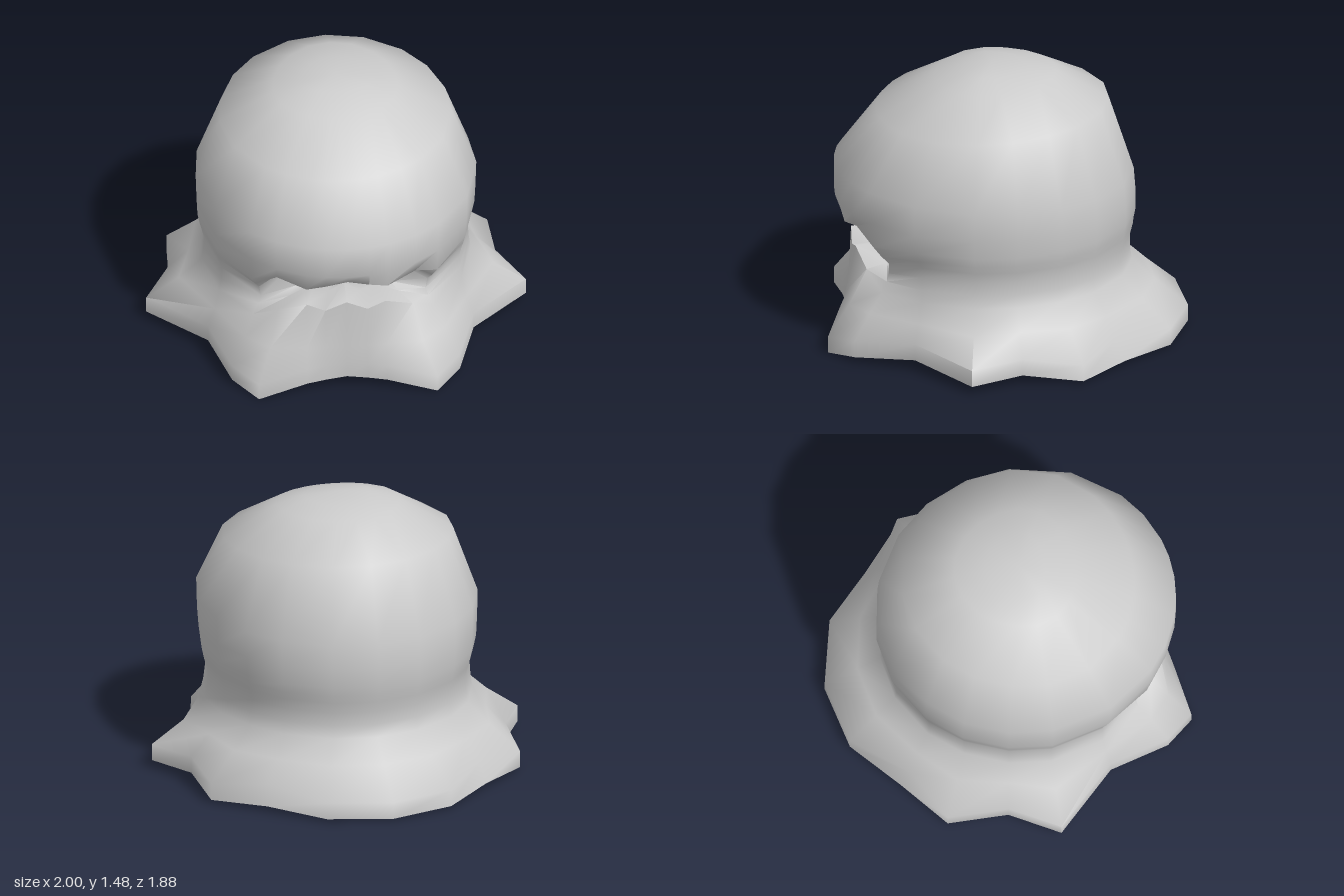
import * as THREE from 'three';
import { toCreasedNormals } from 'three/addons/utils/BufferGeometryUtils.js';

const CZ = 0.13; // centre line of the rounded body
// Half-ring column angles, from the front round the left side to the back
const ANGLES = [0, 9, 17, 30, 42, 64, 88, 105, 123, 140, 161, 180].map(THREE.MathUtils.degToRad);
// Scalloped hem: x, y, z for each column
const HEM = [
  [0, 0.06, 0.85], [0.11, 0.055, 0.865], [0.21, 0.05, 0.885], [0.47, 0, 0.935],
  [0.6, 0.03, 0.79], [0.7, 0.06, 0.47], [1, 0.04, 0.16], [0.86, 0.05, -0.1],
  [0.845, 0.015, -0.42], [0.6, 0.03, -0.63], [0.34, 0.015, -0.86], [0, 0.01, -0.94],
];
// How far each front column sinks into the mouth
const SINK = [1, 1, 1, 0.8, 0.2];

// Body rings: height, half width, front and back radius;
// depth and ys shape the mouth in the front columns, tilt lifts the back
const RINGS = [
  { y: 0.36, w: 0.71, f: 0.7, b: 0.775, depth: 1, ys: [0.525, 0.47, 0.5, 0.43, 0.35] },
  { y: 0.43, w: 0.7, f: 0.7, b: 0.765, depth: 0.78, ys: [0.545, 0.485, 0.51, 0.44, 0.4] },
  { y: 0.5, w: 0.695, f: 0.7, b: 0.765, depth: 0.66, ys: [0.5, 0.47, 0.48, 0.46, 0.44] },
  { y: 0.56, w: 0.71, f: 0.7, b: 0.78, depth: 0.66, ys: [0.67, 0.65, 0.63, 0.6, 0.5] },
  { y: 0.6, w: 0.72, f: 0.73, b: 0.785, depth: 0.84, ys: [0.7, 0.67, 0.645, 0.65, 0.55] },
  { y: 0.65, w: 0.73, f: 0.76, b: 0.795, depth: 1, ys: [0.7, 0.67, 0.64, 0.68, 0.61] },
  { y: 0.75, w: 0.735, f: 0.79, b: 0.795 },
  { y: 0.93, w: 0.74, f: 0.79, b: 0.785, tilt: -0.05 },
  { y: 1.22, w: 0.61, f: 0.57, b: 0.655, tilt: 0.06 },
  { y: 1.4, w: 0.33, f: 0.26, b: 0.38, tilt: 0.03 },
  { y: 1.455, w: 0.18, f: 0.1, b: 0.22 },
];

function bodyPoint({ y, w, f, b, depth = 1, ys, tilt = 0 }, i) {
  const a = ANGLES[i], c = Math.cos(a);
  const s = 1 - (1 - depth) * (SINK[i] ?? 0);
  const h = ys?.[i] ?? y + tilt * (1 - c) / 2;
  return [w * Math.sin(a) * s, h, CZ + (c > 0 ? f : b) * c * s];
}

// Complete a half ring by mirroring it to the right side
const mirror = half => [...half, ...half.slice(1, -1).reverse().map(([x, y, z]) => [-x, y, z])];

function makeGeometry(points, index) {
  const g = new THREE.BufferGeometry();
  g.setAttribute('position', new THREE.Float32BufferAttribute(points.flat(), 3));
  g.setIndex(index);
  return toCreasedNormals(g, 1.25);
}

export function createModel() {
  const group = new THREE.Group();
  group.name = 'hoodedBlob';
  const material = new THREE.MeshStandardMaterial({ color: 0xcccccc, side: THREE.DoubleSide });

  // Hem band, then a flare blending the hem into the body
  const hemTop = HEM.map(([x, y, z], i) => (i === 9 ? [0.58, 0.13, -0.57] : [x, y + 0.09, z]));
  const neck = { y: 0.25, w: 0.705, f: 0.71, b: 0.77 };
  const flare = HEM.map(([x, , z], i) => {
    const p = bodyPoint(neck, i);
    return [p[0] + (x - p[0]) * 0.42, 0.25, p[2] + (z - p[2]) * 0.42];
  });
  const rings = [HEM, hemTop, flare, ...RINGS.map(r => ANGLES.map((_, i) => bodyPoint(r, i)))].map(mirror);

  // Skin from hem to crown, including the mouth pocket
  const n = rings[0].length;
  const points = [...rings.flat(), [0, 1.475, 0.09]];
  const index = [];
  for (let r = 0; r < rings.length; r++) {
    for (let i = 0; i < n; i++) {
      const j = (i + 1) % n, a = r * n + i, b = r * n + j;
      if (r === rings.length - 1) index.push(a, b, points.length - 1);
      else index.push(a, b, b + n, a, b + n, a + n);
    }
  }
  const body = new THREE.Mesh(makeGeometry(points, index), material);
  body.name = 'body';

  // Underside closing the hem
  const capIndex = [];
  for (let i = 0; i < n; i++) capIndex.push(n, (i + 1) % n, i);
  const base = new THREE.Mesh(makeGeometry([...rings[0], [0, 0.04, 0]], capIndex), material);
  base.name = 'underside';

  group.add(body, base);
  return group;
}
